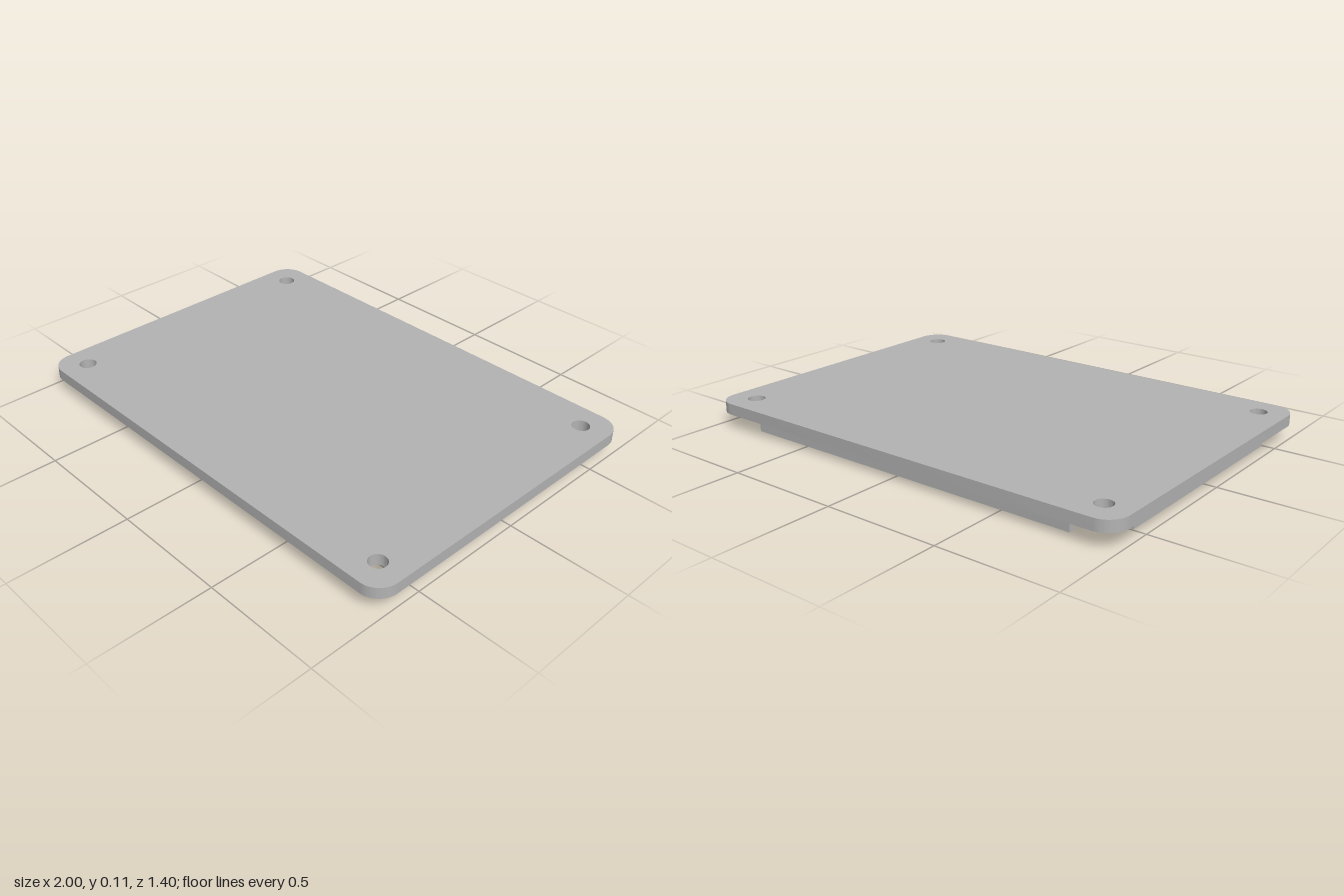
import * as THREE from 'three';
import { toCreasedNormals } from 'three/addons/utils/BufferGeometryUtils.js';

const HALF_X = 1, HALF_Z = 0.7, CORNER = 0.09;
const PLATE_BOTTOM = 0.062, PLATE_TOP = 0.11;

// Rounded rectangle with a screw hole near each corner
function plateShape() {
  const s = new THREE.Shape();
  const cx = HALF_X - CORNER, cz = HALF_Z - CORNER;
  s.absarc(cx, cz, CORNER, 0, Math.PI / 2);
  s.absarc(-cx, cz, CORNER, Math.PI / 2, Math.PI);
  s.absarc(-cx, -cz, CORNER, Math.PI, Math.PI * 1.5);
  s.absarc(cx, -cz, CORNER, Math.PI * 1.5, Math.PI * 2);
  s.closePath();
  for (const x of [-0.882, 0.882]) {
    for (const z of [-0.583, 0.583]) {
      const hole = new THREE.Path();
      hole.absarc(x, z, 0.037, 0, Math.PI * 2, true);
      s.holes.push(hole);
    }
  }
  return s;
}

export function createModel() {
  const model = new THREE.Group();
  model.name = 'coverPlate';
  const grey = new THREE.MeshStandardMaterial({ color: 0xb3b3b3 });
  grey.name = 'grey';

  // Flat lid
  const extruded = new THREE.ExtrudeGeometry(plateShape(), {
    depth: PLATE_TOP - PLATE_BOTTOM, bevelEnabled: false, curveSegments: 16,
  });
  extruded.rotateX(-Math.PI / 2).translate(0, PLATE_BOTTOM, 0);
  const plate = new THREE.Mesh(toCreasedNormals(extruded, Math.PI / 5), grey);
  plate.name = 'plate';
  model.add(plate);

  // Locating ribs underneath, one along each edge
  const addRib = (name, width, depth, x, z) => {
    const rib = new THREE.Mesh(new THREE.BoxGeometry(width, PLATE_BOTTOM, depth), grey);
    rib.name = name;
    rib.position.set(x, PLATE_BOTTOM / 2, z);
    model.add(rib);
  };
  const thick = 0.03;
  addRib('frontRib', 1.58, thick, 0, 0.632);
  addRib('backRib', 1.58, thick, 0, -0.632);
  addRib('leftRib', thick, 0.986, 0.931, 0);
  addRib('rightRib', thick, 0.986, -0.931, 0);

  return model;
}
